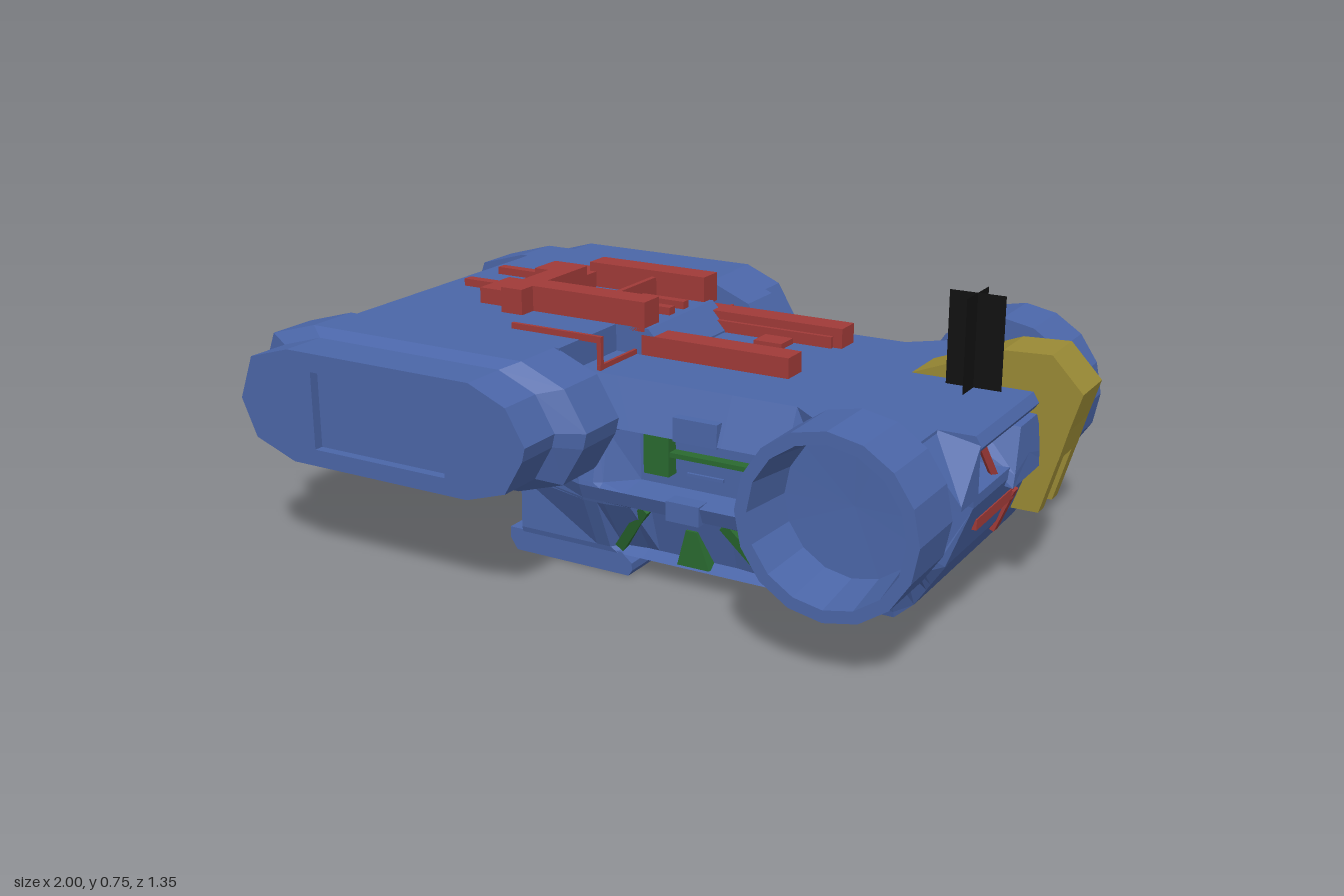
import * as THREE from 'three';

const paint = (color) => new THREE.MeshStandardMaterial({ color, flatShading: true, side: THREE.DoubleSide });

// Skin through rings of equal point count, closed at both ends
function loft(rings) {
  const pos = [];
  const n = rings[0].length;
  const tri = (...pts) => pts.forEach((p) => pos.push(...p));
  for (let i = 0; i < rings.length - 1; i++) {
    for (let j = 0; j < n; j++) {
      const k = (j + 1) % n;
      const [a, b, c, d] = [rings[i][j], rings[i][k], rings[i + 1][k], rings[i + 1][j]];
      tri(a, b, c);
      tri(a, c, d);
    }
  }
  [rings[0], rings[rings.length - 1]].forEach((ring, end) => {
    const mid = [0, 1, 2].map((c) => ring.reduce((s, p) => s + p[c], 0) / n);
    ring.forEach((p, j) => {
      const q = ring[(j + 1) % n];
      if (end) tri(mid, p, q);
      else tri(mid, q, p);
    });
  });
  const g = new THREE.BufferGeometry();
  g.setAttribute('position', new THREE.Float32BufferAttribute(pos, 3));
  g.computeVertexNormals();
  return g;
}

// Copy reflected across z = 0, with corner order restored
function mirrorZ(geo) {
  const g = geo.index ? geo.toNonIndexed() : geo.clone();
  const p = g.attributes.position;
  const v = [0, 1, 2].map(() => new THREE.Vector3());
  for (let i = 0; i < p.count; i += 3) {
    v.forEach((w, k) => w.fromBufferAttribute(p, i + k));
    [v[0], v[2], v[1]].forEach((w, k) => p.setXYZ(i + k, w.x, w.y, -w.z));
  }
  g.computeVertexNormals();
  return g;
}

// Box given by its limits on each axis
function box(x0, x1, y0, y1, z0, z1) {
  return new THREE.BoxGeometry(x1 - x0, y1 - y0, z1 - z0)
    .translate((x0 + x1) / 2, (y0 + y1) / 2, (z0 + z1) / 2);
}

// Square bar between two points
function beam(a, b, w) {
  const p = new THREE.Vector3(...a);
  const d = new THREE.Vector3(...b).sub(p);
  const turn = new THREE.Quaternion().setFromUnitVectors(new THREE.Vector3(0, 1, 0), d.clone().normalize());
  const m = p.addScaledVector(d, 0.5);
  return new THREE.BoxGeometry(w, d.length(), w).applyQuaternion(turn).translate(m.x, m.y, m.z);
}

// Flat outline thickened along z
function slab(points, z0, z1, hole) {
  const shape = new THREE.Shape(points.map((p) => new THREE.Vector2(...p)));
  if (hole) shape.holes.push(new THREE.Path(hole.map((p) => new THREE.Vector2(...p))));
  return new THREE.ExtrudeGeometry(shape, { depth: z1 - z0, bevelEnabled: false }).translate(0, 0, z0);
}

export function createModel() {
  const model = new THREE.Group();
  const blue = paint(0x4b66a8);
  const red = paint(0xa03a38);
  const green = paint(0x2a6a30);
  const yellow = paint(0x9a8a35);
  const black = paint(0x111111);
  const add = (name, geo, mat) => {
    const mesh = new THREE.Mesh(geo, mat);
    mesh.name = name;
    model.add(mesh);
  };
  const pair = (name, geo, mat) => {
    add(name + 'Left', geo, mat);
    add(name + 'Right', mirrorZ(geo), mat);
  };

  // Main hull: cross-sections along x; up, down and base set the depth of the side recesses
  const section = (x, low, top, { shoulder = 0.365, topZ = 0.31, up = 0, down = 0, base = 0, belly = 0.315, waist = 0.395 }) => {
    const half = [
      [topZ, 0.52], [shoulder, 0.405], [shoulder - up * 0.6, 0.395], [waist - 0.002 - up, 0.265], [waist, 0.255],
      [belly + (waist - belly) * 0.8, 0.215], [belly + (waist - belly) * 0.77 - down, 0.208],
      [belly + 0.004 - base, 0.07], [belly, 0.055],
    ].map(([z, y]) => [x, Math.min(top, Math.max(low, y)), z]);
    return [...half, ...half.slice().reverse().map(([a, y, z]) => [a, y, -z])];
  };
  const wide = { shoulder: 0.4, topZ: 0.4 };
  add('hull', loft([
    section(-0.33, 0.055, 0.52, { shoulder: 0.315, waist: 0.316 }),
    section(-0.1, 0.055, 0.52, {}),
    section(-0.06, 0.055, 0.52, {}),
    section(-0.04, 0.055, 0.52, { up: 0.015, base: 0.03 }),
    section(0.03, 0.055, 0.52, { up: 0.08, down: 0.01, base: 0.04 }),
    section(0.06, 0.055, 0.52, { up: 0.08, down: 0.055, base: 0.04 }),
    section(0.28, 0.055, 0.52, { up: 0.08, down: 0.055, base: 0.04 }),
    section(0.36, 0.055, 0.52, { up: 0.08, down: 0.01, base: 0.03 }),
    section(0.45, 0.055, 0.52, {}),
    section(0.56, 0.055, 0.52, wide),
    section(0.71, 0.055, 0.52, wide),
    section(0.76, 0.1, 0.52, wide),
    section(0.79, 0.145, 0.52, { ...wide, belly: 0.32 }),
    section(0.8, 0.16, 0.39, { ...wide, belly: 0.32, waist: 0.385 }),
    section(0.84, 0.22, 0.388, { shoulder: 0.36, topZ: 0.36, belly: 0.32, waist: 0.35 }),
    section(0.89, 0.36, 0.385, { shoulder: 0.325, topZ: 0.32, belly: 0.32, waist: 0.32 }),
  ]), blue);

  // Rear deck with open bays at its end
  add('rearDeck', box(-0.68, -0.155, 0.26, 0.59, -0.385, 0.385), blue);
  add('deckStep', slab([[-0.16, 0.5], [0, 0.5], [0, 0.525], [-0.06, 0.59], [-0.16, 0.59]], -0.2, 0.13), blue);
  add('rearRoof', slab([[-0.83, 0.53], [-0.67, 0.53], [-0.67, 0.59], [-0.79, 0.59], [-0.83, 0.57]], -0.385, 0.385), blue);
  add('rearSill', slab([[-0.83, 0.28], [-0.8, 0.26], [-0.67, 0.26], [-0.67, 0.31], [-0.83, 0.31]], -0.385, 0.385), blue);
  pair('rearPillar', box(-0.82, -0.67, 0.3, 0.54, 0.1, 0.16), blue);
  pair('rearSideWall', box(-0.82, -0.67, 0.3, 0.54, 0.33, 0.385), blue);

  // Side pods: wide core, bevel, narrower outer block with a sunken panel
  const outline = [
    [-1, 0.42], [-0.95, 0.31], [-0.81, 0.26], [-0.19, 0.26], [-0.06, 0.3], [0, 0.4],
    [0.01, 0.44], [-0.05, 0.54], [-0.17, 0.59], [-0.81, 0.59], [-0.95, 0.55],
  ];
  const outer = outline.map(([x, y]) => [-0.49 + (x + 0.495) * 0.86, 0.427 + (y - 0.425) * 0.88]);
  const at = (pts, z) => pts.map(([x, y]) => [x, y, z]);
  pair('podCore', loft([at(outline, 0.38), at(outline, 0.52), at(outer, 0.555)]), blue);
  const panel = [[-0.69, 0.325], [-0.29, 0.325], [-0.29, 0.525], [-0.69, 0.525]];
  pair('podOuter', slab(outer, 0.555, 0.675, panel), blue);
  pair('podPanel', box(-0.69, -0.29, 0.325, 0.525, 0.55, 0.65), blue);

  // Deep hollow drums on short hubs
  const drum = [[0, 0.43], [0.218, 0.43], [0.218, 0.607], [0.188, 0.607], [0.17, 0.46], [0, 0.455]];
  const drumGeo = new THREE.LatheGeometry(drum.map((p) => new THREE.Vector2(...p)), 16)
    .rotateX(Math.PI / 2).translate(0.667, 0.368, 0);
  pair('drum', drumGeo, blue);
  pair('drumHub', new THREE.CylinderGeometry(0.155, 0.155, 0.06, 16).rotateX(Math.PI / 2).translate(0.675, 0.368, 0.41), blue);

  // Landing skids and belly plate
  pair('skid', slab([[-0.35, 0], [-0.01, 0], [0, 0.015], [0, 0.035], [-0.03, 0.06], [-0.37, 0.06], [-0.37, 0.03]], 0.18, 0.315), blue);
  add('bellyPlate', box(0.08, 0.66, 0.05, 0.06, -0.24, 0.24), blue);

  // Machinery in the side recesses
  pair('sideMotor', box(0.06, 0.13, 0.3, 0.4, 0.28, 0.35), green);
  pair('sidePipe', box(0.13, 0.39, 0.35, 0.362, 0.3, 0.345), green);
  pair('sideVent', box(0.15, 0.27, 0.4, 0.46, 0.3, 0.365), blue);
  pair('sideCatch', box(0.15, 0.24, 0.21, 0.26, 0.34, 0.398), blue);
  pair('sideWire', beam([0.17, 0.31, 0.33], [0.27, 0.31, 0.33], 0.008), blue);
  pair('lowerStrutRear', beam([-0.04, 0.07, 0.295], [0.06, 0.205, 0.34], 0.026), green);
  pair('lowerStrutFore', beam([0.39, 0.07, 0.3], [0.28, 0.205, 0.34], 0.026), green);
  pair('lowerWedge', slab([[0.13, 0.06], [0.22, 0.06], [0.185, 0.155], [0.155, 0.155]], 0.27, 0.312), green);

  // Red frame on the deck
  [[-0.24, -0.17], [0.06, 0.13]].forEach(([z0, z1], i) => {
    const n = i + 1;
    add('railHigh' + n, box(-0.43, -0.07, 0.58, 0.657, z0, z1), red);
    add('railLow' + n, box(-0.08, 0.335, 0.515, 0.572, z0, z1), red);
    const inner = i ? z0 - 0.012 : z1;
    add('railLip' + n, box(-0.06, 0.31, 0.515, 0.55, inner, inner + 0.012), red);
  });
  add('frameBlock1', box(-0.58, -0.41, 0.58, 0.632, -0.22, -0.12), red);
  add('frameBlock2', box(-0.58, -0.4, 0.58, 0.632, 0, 0.13), red);
  add('crossbar', box(-0.475, -0.41, 0.58, 0.657, -0.125, 0.18), red);
  [-0.135, 0.02].forEach((z, i) => add('frameRod' + (i + 1), box(-0.705, -0.57, 0.6, 0.62, z - 0.014, z + 0.014), red));
  add('tie', box(-0.232, -0.218, 0.58, 0.64, -0.18, 0.07), red);
  [-0.092, -0.022].forEach((z, i) => add('prong' + (i + 1), box(-0.22, -0.08, 0.56, 0.61, z - 0.013, z + 0.013), red));
  add('pad1', box(0.125, 0.205, 0.5, 0.535, -0.15, -0.085), red);
  add('pad2', box(0.125, 0.205, 0.5, 0.535, -0.03, 0.06), red);
  add('wire1', box(-0.102, -0.094, 0.515, 0.533, -0.38, -0.2), red);
  add('wire2', box(-0.102, -0.094, 0.515, 0.533, 0.12, 0.3), red);
  add('wire3', box(-0.36, -0.094, 0.588, 0.605, 0.286, 0.296), red);
  add('wirePost', box(-0.104, -0.092, 0.515, 0.605, 0.286, 0.298), red);

  // Red fittings under the rear deck
  add('underBox', box(-0.53, -0.33, 0.2, 0.27, 0.02, 0.25), red);
  add('underPost', box(-0.345, -0.325, 0.12, 0.26, 0, 0.03), red);

  // Nose: overhanging roof with sloped corners, hood, red braces and lower hatch
  add('noseRoof', slab([[0.78, 0.48], [0.885, 0.48], [0.895, 0.495], [0.88, 0.52], [0.78, 0.52]], -0.3, 0.3), blue);
  pair('noseCorner', loft([
    [[0.785, 0.52, 0.3], [0.785, 0.52, 0.4], [0.785, 0.38, 0.4], [0.785, 0.38, 0.3]],
    [[0.892, 0.5, 0.3], [0.892, 0.39, 0.4], [0.892, 0.38, 0.4], [0.892, 0.38, 0.3]],
  ]), blue);
  add('noseHood', loft([
    [[0.78, 0.36, -0.11], [0.78, 0.44, -0.09], [0.78, 0.48, -0.05], [0.78, 0.48, 0.05], [0.78, 0.44, 0.1], [0.78, 0.36, 0.11]],
    [[0.905, 0.34, -0.11], [0.905, 0.37, -0.1], [0.895, 0.47, -0.06], [0.895, 0.47, 0.05], [0.905, 0.37, 0.1], [0.905, 0.34, 0.11]],
  ]), blue);
  pair('braceInner', beam([0.85, 0.49, 0.21], [0.872, 0.38, 0.15], 0.016), red);
  pair('braceOuter', beam([0.85, 0.49, 0.22], [0.872, 0.38, 0.29], 0.016), red);
  add('hatchBar', beam([0.861, 0.293, 0.01], [0.861, 0.293, 0.25], 0.026), red);
  add('hatchPost', beam([0.821, 0.195, 0.01], [0.866, 0.305, 0.01], 0.03), red);
  add('chinStrip', box(0.7, 0.73, 0.068, 0.077, -0.2, 0.24), red);

  // Yellow hooked arm over the nose, with a split lower end
  add('hookArm', slab([
    [0.57, 0.52], [0.78, 0.5], [0.87, 0.4], [0.88, 0.36], [0.951, 0.36], [0.972, 0.437],
    [1, 0.53], [0.92, 0.615], [0.8, 0.61],
  ], -0.21, -0.07), yellow);
  [-0.21, -0.11].forEach((z, i) => add('hookTine' + (i + 1),
    slab([[0.83, 0.22], [0.91, 0.22], [0.951, 0.362], [0.88, 0.362]], z, z + 0.04), yellow));
  add('hookWeb', slab([[0.84, 0.22], [0.875, 0.22], [0.93, 0.365], [0.885, 0.365]], -0.18, -0.1), yellow);

  // Crossed mast vanes
  add('vaneAcross', new THREE.PlaneGeometry(0.14, 0.235).translate(0.745, 0.634, -0.03), black);
  add('vaneAlong', new THREE.PlaneGeometry(0.14, 0.235).rotateY(Math.PI / 2).translate(0.745, 0.634, -0.03), black);

  return model;
}
